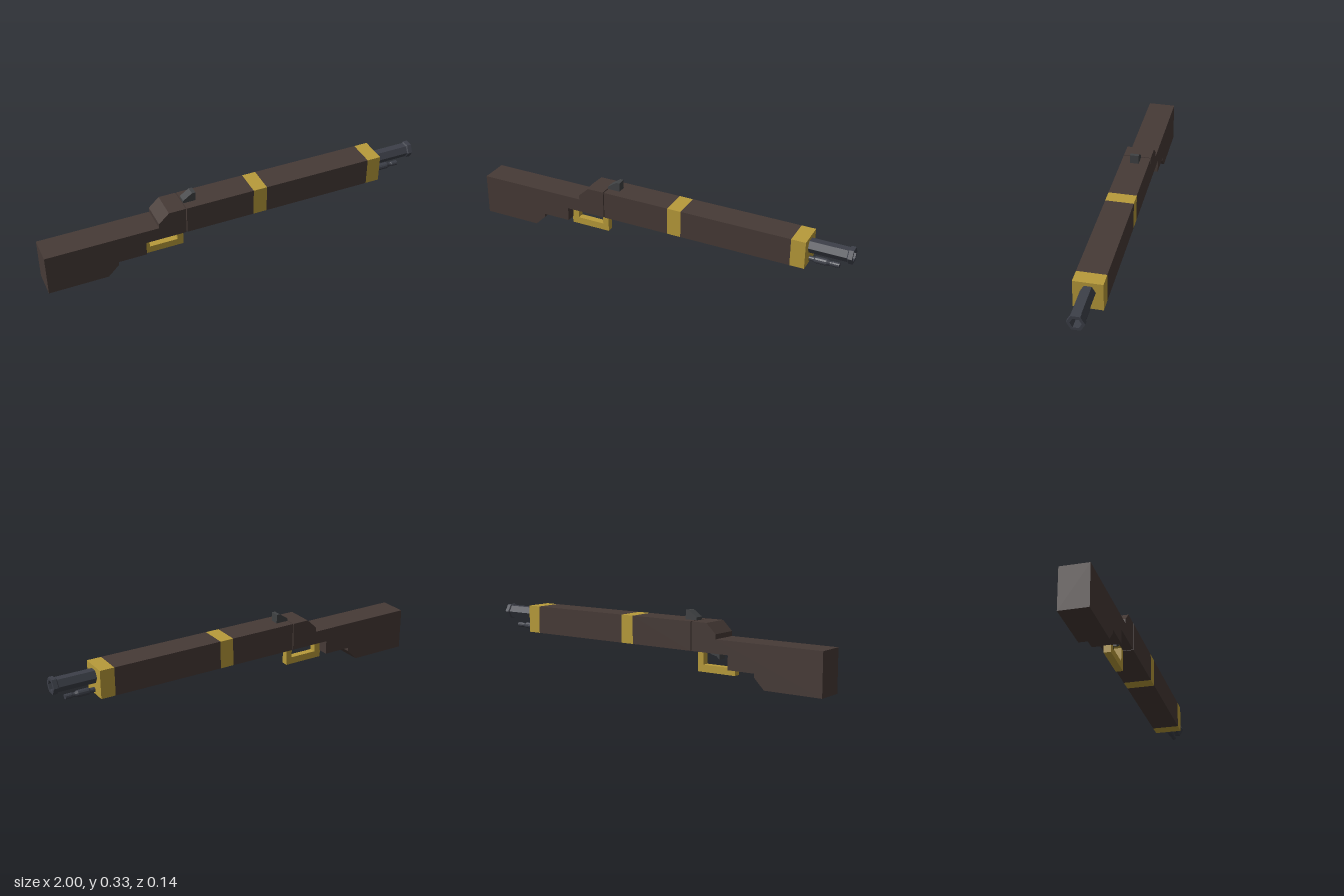
import * as THREE from 'three';

const WIDTH = 0.142;
const mat = (color) => new THREE.MeshStandardMaterial({ color, flatShading: true });

export function createModel() {
  const model = new THREE.Group();
  const wood = mat(0x463a36), brass = mat(0xb89b3a), steel = mat(0x3c3f48), iron = mat(0x404244);

  function add(name, geometry, material) {
    const mesh = new THREE.Mesh(geometry, material);
    mesh.name = name;
    model.add(mesh);
  }

  // Side outline in x, y extruded across z, centred on zMid
  function slab(name, points, width, material, zMid = 0, hole) {
    const toV = (p) => new THREE.Vector2(p[0], p[1]);
    const shape = new THREE.Shape(points.map(toV));
    if (hole) shape.holes.push(new THREE.Path(hole.map(toV)));
    const geo = new THREE.ExtrudeGeometry(shape, { depth: width, bevelEnabled: false });
    add(name, geo.translate(0, 0, zMid - width / 2), material);
  }

  const rect = (x0, x1, y0, y1) => [[x0, y0], [x1, y0], [x1, y1], [x0, y1]];

  // Turned part along x; profile is [radius, x]
  function turned(name, profile, sides, y, material) {
    const geo = new THREE.LatheGeometry(profile.map((p) => new THREE.Vector2(p[0], p[1])), sides);
    add(name, geo.rotateZ(-Math.PI / 2).translate(0, y, 0), material);
  }

  // Shoulder stock with grip step and raised breech
  slab('stock', [
    [-1, 0], [-0.7, 0], [-0.645, 0.055], [-0.645, 0.073], [-0.5, 0.073], [-0.5, 0.144],
    [-0.29, 0.144], [-0.29, 0.287], [-0.377, 0.287], [-0.43, 0.237], [-0.43, 0.213], [-1, 0.213],
  ], WIDTH, wood);

  // Fore-end sections alternating with brass bands
  const bottom = 0.144, top = 0.287;
  slab('rearForeEnd', rect(-0.285, 0.07, bottom, top), WIDTH, wood);
  slab('middleBand', rect(0.07, 0.142, bottom, top), WIDTH, brass);
  slab('frontForeEnd', rect(0.142, 0.712, bottom, top), WIDTH, wood);
  slab('noseBand', rect(0.712, 0.785, bottom, top), WIDTH, brass);

  // Trigger and its guard
  slab('triggerGuard', rect(-0.503, -0.29, 0.037, 0.144), 0.035, brass, 0.004,
    rect(-0.467, -0.322, 0.073, 0.1435));
  slab('trigger', [
    [-0.42, 0.144], [-0.42, 0.107], [-0.402, 0.123], [-0.367, 0.131], [-0.367, 0.144],
  ], 0.045, iron, 0.002);

  // Rear sight
  slab('rearSight', [
    [-0.285, 0.287], [-0.22, 0.287], [-0.22, 0.333], [-0.238, 0.333], [-0.285, 0.301],
  ], 0.045, iron, 0.002);

  // Six-sided barrel with muzzle ring and bore
  turned('barrel', [
    [0, 0.77], [0.036, 0.77], [0.036, 0.973], [0.0425, 0.978], [0.0425, 1],
    [0.027, 1], [0.027, 0.95], [0, 0.95],
  ], 6, 0.237, steel);

  // Ramrod below the barrel
  turned('ramrod', [
    [0, 0.77], [0.012, 0.77], [0.012, 0.81], [0.017, 0.817], [0.017, 0.872],
    [0.011, 0.888], [0.011, 0.898], [0.013, 0.902], [0.013, 0.935], [0, 0.935],
  ], 12, 0.165, steel);

  return model;
}
